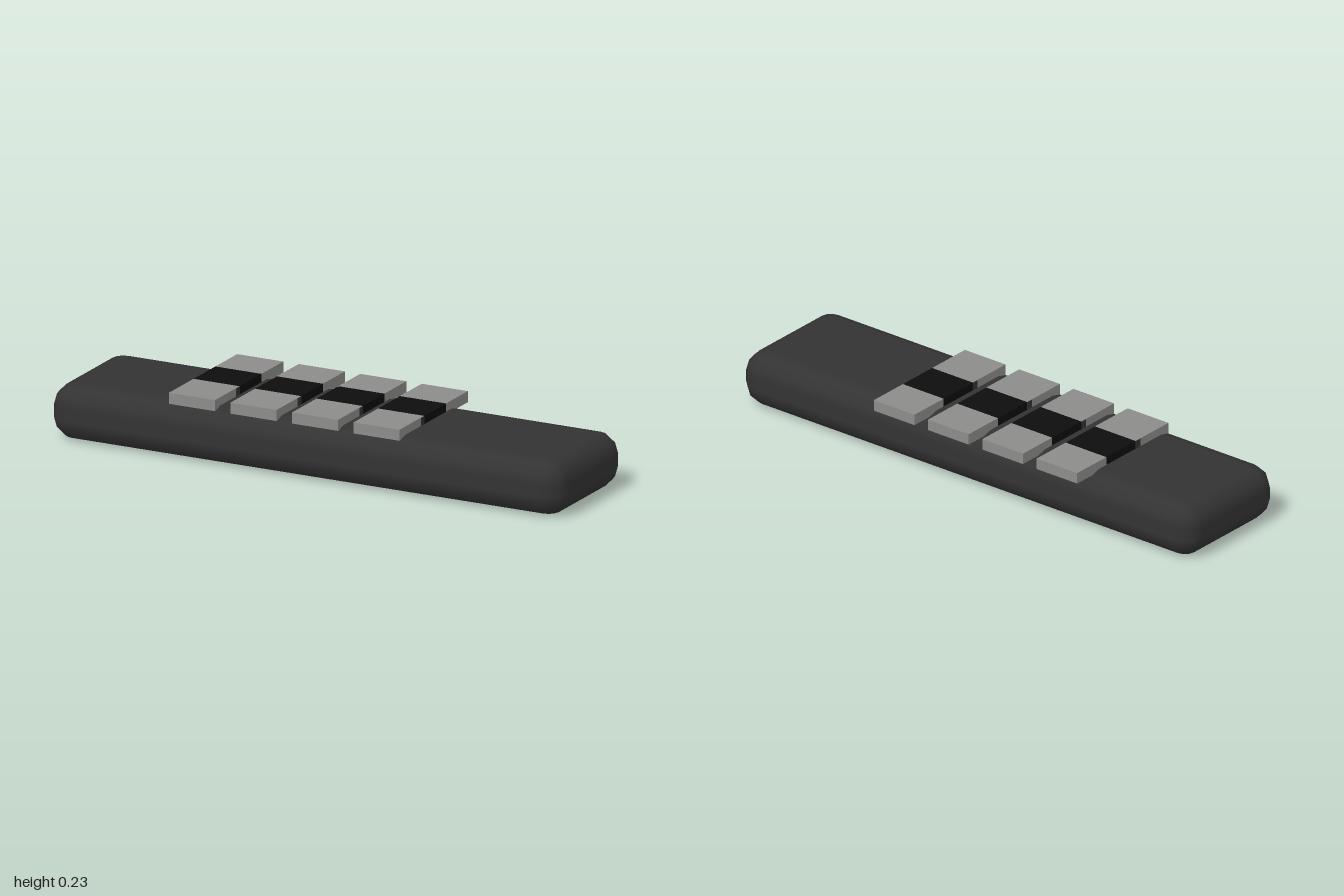
import * as THREE from 'three';

const bodyMat = new THREE.MeshStandardMaterial({ name: 'charcoal', color: 0x333333 });
const greyMat = new THREE.MeshStandardMaterial({ name: 'grey', color: 0x8c8c8a });
const blackMat = new THREE.MeshStandardMaterial({ name: 'black', color: 0x0d0d0d });

// Box with evenly rounded edges: a sphere whose octants are pushed out to the corners.
function roundedBlock(w, h, d, r, steps) {
  const ix = w / 2 - r, iy = h / 2 - r, iz = d / 2 - r;
  const step = Math.PI / 2 / steps;
  // each row: spread of the ring, vertical side, elevation
  const rows = [[0, -1, -Math.PI / 2]];
  for (let i = 0; i <= steps; i++) rows.push([1, -1, (i - steps) * step]);
  for (let i = 0; i <= steps; i++) rows.push([1, 1, i * step]);
  rows.push([0, 1, Math.PI / 2]);
  const signs = [[1, 1], [-1, 1], [-1, -1], [1, -1]];
  const n = 4 * (steps + 1);
  const pos = [], nor = [], idx = [];
  for (const [spread, side, e] of rows) {
    for (let q = 0; q < 4; q++) {
      for (let k = 0; k <= steps; k++) {
        const t = q * Math.PI / 2 + k * step;
        const nx = Math.cos(e) * Math.cos(t), ny = Math.sin(e), nz = Math.cos(e) * Math.sin(t);
        pos.push(spread * signs[q][0] * ix + r * nx, side * iy + r * ny, spread * signs[q][1] * iz + r * nz);
        nor.push(nx, ny, nz);
      }
    }
  }
  for (let i = 0; i < rows.length - 1; i++) {
    for (let j = 0; j < n; j++) {
      const a = i * n + j, b = i * n + (j + 1) % n, c = a + n, e = b + n;
      idx.push(a, c, b, b, c, e);
    }
  }
  const g = new THREE.BufferGeometry();
  g.setAttribute('position', new THREE.Float32BufferAttribute(pos, 3));
  g.setAttribute('normal', new THREE.Float32BufferAttribute(nor, 3));
  g.setIndex(idx);
  return g;
}

// Box given by its lower and upper limits on each axis.
function slab(name, mat, x0, x1, y0, y1, z0, z1) {
  const m = new THREE.Mesh(new THREE.BoxGeometry(x1 - x0, y1 - y0, z1 - z0), mat);
  m.position.set((x0 + x1) / 2, (y0 + y1) / 2, (z0 + z1) / 2);
  m.name = name;
  return m;
}

export function createModel() {
  const model = new THREE.Group();
  model.name = 'bar';

  const body = new THREE.Mesh(roundedBlock(2, 0.2, 0.5, 0.08, 3), bodyMat);
  body.name = 'body';
  body.position.set(0, 0.1, 0.02);
  model.add(body);

  // Four flat keys across the top, grey with a black middle band
  for (let i = 0; i < 4; i++) {
    const x0 = -0.54 + 0.24 * i, x1 = x0 + 0.18;
    const key = new THREE.Group();
    key.name = 'key' + (i + 1);
    key.add(
      slab('keyFront', greyMat, x0, x1, 0.19, 0.23, 0.05, 0.23),
      slab('keyBand', blackMat, x0, x1, 0.19, 0.23, -0.11, 0.05),
      slab('keyBack', greyMat, x0, x1, 0.19, 0.23, -0.27, -0.11)
    );
    // Narrow dark edge beside the band on each side face
    for (const x of [x0, x1]) {
      key.add(slab('bandEdge', bodyMat, x - 0.001, x + 0.001, 0.19, 0.2295, 0.05, 0.075));
    }
    model.add(key);
  }
  return model;
}
